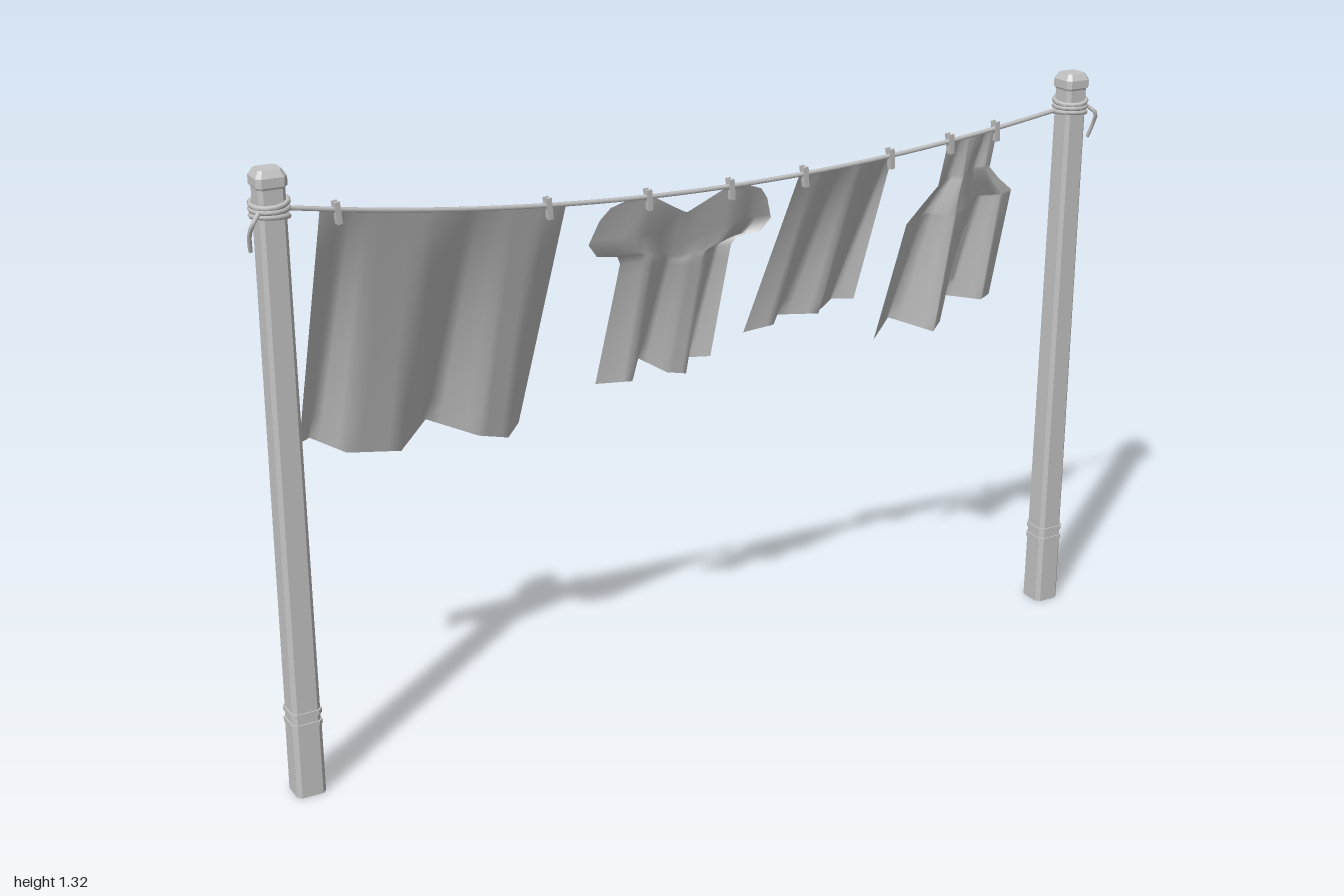
import * as THREE from 'three';

const grey = new THREE.MeshStandardMaterial({ color: 0xc4c4c4, side: THREE.DoubleSide });
grey.name = 'plain grey';

const lerp = THREE.MathUtils.lerp;
const ropeY = (x) => 1.145 + 0.094 * (x - 0.06) ** 2;
const ropeZ = (x) => 0.104 + 0.012 * x * x;

function add(parent, name, geometry, x = 0, y = 0, z = 0) {
  const mesh = new THREE.Mesh(geometry, grey);
  mesh.name = name;
  mesh.position.set(x, y, z);
  parent.add(mesh);
  return mesh;
}

// Square bar with chamfered corners, standing on y = 0, tapering from width w0 to w1
function bar(w0, w1, h) {
  const a = 0.5, b = 0.36;
  const shape = new THREE.Shape([[a, b], [b, a], [-b, a], [-a, b], [-a, -b], [-b, -a], [b, -a], [a, -b]]
    .map(([x, y]) => new THREE.Vector2(x, y)));
  const geo = new THREE.ExtrudeGeometry(shape, { depth: h, bevelEnabled: false });
  geo.rotateX(-Math.PI / 2);
  const p = geo.attributes.position;
  for (let i = 0; i < p.count; i++) {
    const w = lerp(w0, w1, p.getY(i) / h);
    p.setXYZ(i, p.getX(i) * w, p.getY(i), p.getZ(i) * w);
  }
  geo.computeVertexNormals();
  return geo;
}

function tube(points, radius, segments) {
  const curve = new THREE.CatmullRomCurve3(points.map((q) => new THREE.Vector3(...q)));
  return new THREE.TubeGeometry(curve, segments, radius, 6, false);
}

// Piecewise-linear lookup in a table whose first column is the key
function sample(table, t, col) {
  let i = 1;
  while (i < table.length - 1 && table[i][0] < t) i++;
  const [a, b] = [table[i - 1], table[i]];
  return lerp(a[col], b[col], THREE.MathUtils.clamp((t - a[0]) / (b[0] - a[0]), 0, 1));
}

// Hanging cloth: rows = [v, left x, right x], hem = [x, y, z], folds widen toward the hem
function cloth(rows, hem, neckline = () => 0) {
  const [x0, x1] = [hem[0][0], hem[hem.length - 1][0]];
  const us = [], vs = new Set(rows.map((r) => r[0]));
  for (let i = 1; i < hem.length; i++) {
    for (let k = 0; k < 4; k++) us.push((lerp(hem[i - 1][0], hem[i][0], k / 4) - x0) / (x1 - x0));
  }
  us.push(1);
  for (let i = 0; i <= 10; i++) vs.add(i / 10);
  const levels = [...vs].sort((a, b) => a - b);
  const pos = [], index = [], n = us.length;
  levels.forEach((v, j) => us.forEach((u, i) => {
    const x = lerp(sample(rows, v, 1), sample(rows, v, 2), u);
    const hx = lerp(x0, x1, u);
    const y = lerp(ropeY(x) - neckline(x), sample(hem, hx, 1), v);
    const z = lerp(ropeZ(x), sample(hem, hx, 2), v) - neckline(x) * 0.36 * (1 - v);
    pos.push(x, y, z);
    if (i && j) {
      const d = j * n + i, c = d - 1, b = d - n, a = b - 1;
      index.push(a, c, b, b, c, d);
    }
  }));
  const geo = new THREE.BufferGeometry();
  geo.setAttribute('position', new THREE.Float32BufferAttribute(pos, 3));
  geo.setIndex(index);
  geo.computeVertexNormals();
  return geo;
}

function makePost(side) {
  const post = new THREE.Group();
  post.name = side < 0 ? 'rightPost' : 'leftPost';
  post.position.set(0.947 * side, 0, 0.122);
  const drop = side > 0 ? -0.02 : 0;
  add(post, 'postBase', bar(0.063, 0.062, 0.16));
  add(post, 'postShaft', bar(0.06, 0.054, 1.125 + drop), 0, 0.16, 0);
  for (const y of [0.157, 0.182]) add(post, 'postBand', bar(0.066, 0.066, 0.01), 0, y, 0);
  // Stepped cap
  add(post, 'capCollar', bar(0.05, 0.058, 0.01), 0, 1.276 + drop, 0);
  add(post, 'capBlock', bar(0.062, 0.062, 0.018), 0, 1.286 + drop, 0);
  add(post, 'capTop', bar(0.062, 0.046, 0.014), 0, 1.304 + drop, 0);
  // Rope wound round the post, with a loose end
  const wrapY = side < 0 ? 1.24 : 1.222;
  [-0.014, 0, 0.013].forEach((dy, i) => {
    const coil = add(post, 'ropeCoil', new THREE.TorusGeometry(0.036, 0.0055, 6, 12), 0, wrapY + dy, 0);
    coil.rotation.set(Math.PI / 2 + (i - 1) * 0.12, (i - 1) * 0.08, 0);
  });
  add(post, 'ropeTail', tube([
    [0.03 * side, wrapY, 0.026], [0.045 * side, wrapY - 0.015, 0.036],
    [0.05 * side, wrapY - 0.04, 0.025], [0.046 * side, wrapY - 0.075, 0.012],
  ], 0.0045, 8));
  return post;
}

export function createModel() {
  const model = new THREE.Group();
  model.name = 'clothesline';
  model.add(makePost(-1), makePost(1));

  // Sagging line
  const line = [];
  for (let i = 0; i <= 12; i++) {
    const x = lerp(-0.925, 0.925, i / 12);
    line.push([x, ropeY(x), ropeZ(x)]);
  }
  add(model, 'rope', tube(line, 0.005, 36));

  // Pegs: two jaws straddling the line
  for (const x of [-0.81, -0.36, -0.13, 0.067, 0.25, 0.47, 0.627, 0.75]) {
    const peg = new THREE.Group();
    peg.name = 'peg';
    peg.position.set(x, ropeY(x) - 0.006, ropeZ(x));
    peg.rotation.z = 0.12;
    for (const s of [-1, 1]) {
      add(peg, 'pegJaw', new THREE.BoxGeometry(0.011, 0.046, 0.005), 0, 0, s * 0.006).rotation.x = s * 0.08;
    }
    model.add(peg);
  }

  // Large sheet
  add(model, 'sheet', cloth([[0, -0.845, -0.32], [1, -0.85, -0.32]], [
    [-0.85, 0.68, -0.075], [-0.8, 0.655, -0.155], [-0.745, 0.635, -0.085], [-0.63, 0.622, -0.07],
    [-0.535, 0.645, -0.16], [-0.45, 0.62, -0.075], [-0.38, 0.602, -0.075], [-0.32, 0.6, -0.15],
  ]));

  // Short-sleeved shirt with a dipped neckline
  add(model, 'shirt', cloth([
    [0, -0.17, 0.1], [0.04, -0.215, 0.145], [0.1, -0.235, 0.165], [0.22, -0.25, 0.185],
    [0.285, -0.225, 0.165], [0.3, -0.175, 0.105], [0.34, -0.165, 0.095], [1, -0.165, 0.097],
  ], [
    [-0.165, 0.685, -0.08], [-0.105, 0.7, -0.02], [-0.05, 0.72, -0.095], [-0.005, 0.695, -0.045],
    [0.035, 0.69, -0.03], [0.07, 0.7, -0.1], [0.097, 0.72, -0.03],
  ], (x) => Math.max(0, 0.05 * (1 - Math.abs(x + 0.03) / 0.09))));

  // Towel
  add(model, 'towel', cloth([[0, 0.237, 0.475], [1, 0.23, 0.482]], [
    [0.23, 0.73, -0.11], [0.28, 0.755, -0.06], [0.333, 0.75, -0.13], [0.387, 0.77, -0.04],
    [0.435, 0.75, -0.11], [0.465, 0.775, -0.105], [0.482, 0.79, -0.04],
  ]));

  // Dress with narrow top and flared body
  add(model, 'dress', cloth([
    [0, 0.622, 0.755], [0.22, 0.622, 0.757], [0.3, 0.59, 0.79], [0.39, 0.556, 0.836], [1, 0.535, 0.842],
  ], [
    [0.535, 0.685, -0.03], [0.605, 0.715, -0.075], [0.66, 0.702, 0.03], [0.7, 0.712, 0],
    [0.76, 0.745, -0.08], [0.8, 0.755, 0.02], [0.842, 0.755, -0.005],
  ]));
  // Flat pocket partly hidden by the folds
  const pocket = add(model, 'dressPocket', new THREE.PlaneGeometry(0.13, 0.15), 0.69, 0.87, -0.004);
  pocket.rotation.x = 0.33;
  return model;
}
